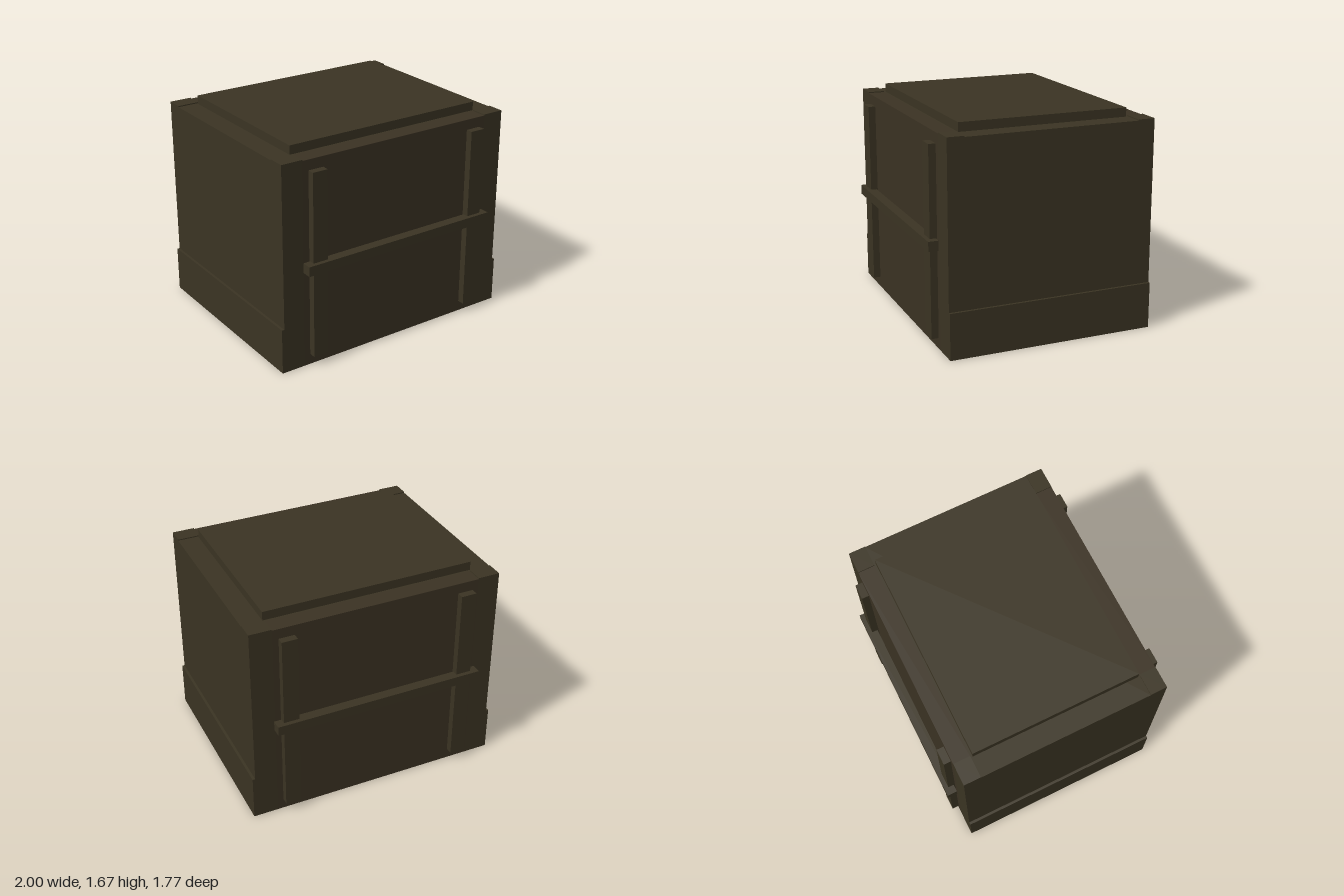
import * as THREE from 'three';

export function createModel() {
  const model = new THREE.Group();
  model.name = 'crate';
  const material = (name, color) => {
    const m = new THREE.MeshStandardMaterial({ color });
    m.name = name;
    return m;
  };
  const olive = material('darkOlive', 0x3b3423);
  const brown = material('darkBrown', 0x3b3223);

  // Box given by its lower and upper corners
  function box(name, mat, [x0, y0, z0], [x1, y1, z1]) {
    const mesh = new THREE.Mesh(new THREE.BoxGeometry(x1 - x0, y1 - y0, z1 - z0), mat);
    mesh.position.set((x0 + x1) / 2, (y0 + y1) / 2, (z0 + z1) / 2);
    mesh.name = name;
    model.add(mesh);
  }
  // Same, mirrored by sx and sz
  function mirrored(name, mat, a, b, sx, sz) {
    const xs = [a[0] * sx, b[0] * sx].sort((p, q) => p - q);
    const zs = [a[2] * sz, b[2] * sz].sort((p, q) => p - q);
    box(name, mat, [xs[0], a[1], zs[0]], [xs[1], b[1], zs[1]]);
  }

  // Body and raised lid
  box('body', olive, [-0.98, 0, -0.67], [0.98, 1.602, 0.67]);
  box('lid', olive, [-0.82, 1.602, -0.655], [0.82, 1.67, 0.655]);

  for (const sz of [1, -1]) {
    // Front and back panels with their cross bars
    mirrored('panel', brown, [-0.81, 0, 0.67], [0.81, 1.602, 0.8], 1, sz);
    mirrored('crossBar', olive, [-0.82, 0.765, 0.81], [0.82, 0.84, 0.887], 1, sz);
    for (const sx of [1, -1]) {
      // Corner posts stand slightly above the body
      mirrored('cornerPost', olive, [0.81, 0, 0.67], [0.98, 1.61, 0.8], sx, sz);
      mirrored('uprightSlat', olive, [0.643, 0.083, 0.8], [0.763, 1.523, 0.855], sx, sz);
    }
  }

  // Low boards along the sides
  for (const sx of [1, -1]) {
    mirrored('sideBoard', olive, [0.98, 0, -0.8], [1, 0.355, 0.8], sx, 1);
  }
  return model;
}
